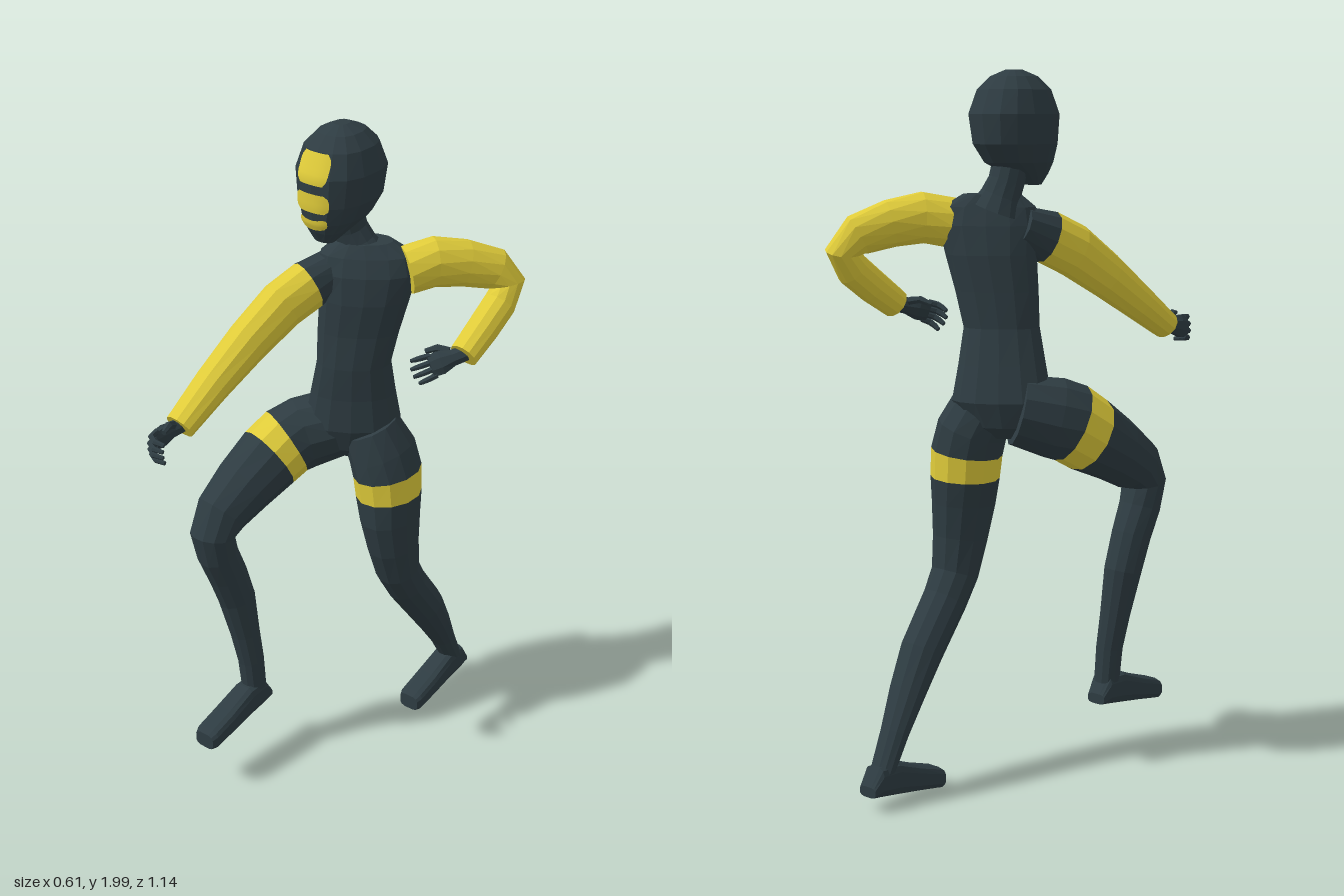
import * as THREE from 'three';

const V = (x, y, z) => new THREE.Vector3(x, y, z);
const X = V(1, 0, 0), Y = V(0, 1, 0), Z = V(0, 0, 1);
const dark = new THREE.MeshStandardMaterial({ color: 0x2e3c42 });
dark.name = 'slate suit';
const yellow = new THREE.MeshStandardMaterial({ color: 0xe0cc3a });
yellow.name = 'yellow trim';

// Rings around a path of [x, y, z, halfWidth, halfDepth]; power above 2 squares the section.
function rings(path, { n = 12, side = X, axis = null, power = 2 } = {}) {
  const pts = path.map(p => V(p[0], p[1], p[2]));
  return pts.map((c, i) => {
    const t = axis || pts[Math.min(i + 1, pts.length - 1)].clone()
      .sub(pts[Math.max(i - 1, 0)]).normalize();
    const u = side.clone().addScaledVector(t, -side.dot(t)).normalize();
    const v = t.clone().cross(u);
    const bend = w => Math.sign(w) * Math.pow(Math.abs(w), 2 / power);
    const ring = [];
    for (let k = 0; k < n; k++) {
      const a = ((k + 0.5) / n) * Math.PI * 2;
      ring.push(c.clone().addScaledVector(u, bend(Math.cos(a)) * path[i][3])
        .addScaledVector(v, bend(Math.sin(a)) * path[i][4]));
    }
    return { c, ring };
  });
}

// Faceted skin over rings, closed at both ends.
function skin(name, sections, material) {
  const out = [];
  const tri = (...ps) => ps.forEach(p => out.push(p.x, p.y, p.z));
  const n = sections[0].ring.length, end = sections[sections.length - 1];
  for (let k = 0; k < n; k++) {
    const m = (k + 1) % n;
    for (let i = 0; i + 1 < sections.length; i++) {
      const a = sections[i].ring, b = sections[i + 1].ring;
      tri(a[k], a[m], b[m]);
      tri(a[k], b[m], b[k]);
    }
    tri(sections[0].c, sections[0].ring[m], sections[0].ring[k]);
    tri(end.c, end.ring[k], end.ring[m]);
  }
  const geo = new THREE.BufferGeometry();
  geo.setAttribute('position', new THREE.Float32BufferAttribute(out, 3));
  geo.computeVertexNormals();
  const mesh = new THREE.Mesh(geo, material);
  mesh.name = name;
  return mesh;
}

const loft = (name, path, material, options) => skin(name, rings(path, options), material);

// A limb cut into coloured lengths: [name, first ring, last ring, material].
function limb(name, path, cuts) {
  const group = new THREE.Group();
  group.name = name;
  const all = rings(path);
  for (const [part, from, to, mat] of cuts) group.add(skin(part, all.slice(from, to + 1), mat));
  return group;
}

// Wedge shoe; x is its centre, dy and dz move it to the ankle.
function foot(name, x, dy, dz) {
  const path = [[-0.56, 0.045, 0.075, 0.03], [-0.53, 0.04, 0.125, 0.037], [-0.465, 0.03, 0.125, 0.038],
    [-0.38, 0.017, 0.092, 0.041], [-0.3, 0.003, 0.066, 0.041], [-0.283, 0.005, 0.055, 0.034]]
    .map(([z, lo, hi, w]) => [x, (lo + hi) / 2 + dy, z + dz, w, (hi - lo) / 2]);
  return loft(name, path, dark, { axis: Z, power: 3.5 });
}

// Hand pointing along its own +z with the palm facing -y; s puts the thumb on +x or -x.
function hand(name, wrist, toward, roll, s, curl) {
  const group = new THREE.Group();
  group.name = name;
  group.add(loft('palm', [[0, 0, -0.025, 0.024, 0.024], [0, 0, 0.015, 0.025, 0.019],
    [0, -0.003, 0.05, 0.036, 0.019], [0, -0.006, 0.08, 0.033, 0.014]], dark, { n: 8 }));
  for (let i = 0; i < 4; i++) {
    const x = (i - 1.5) * 0.019, fan = x * 0.25, len = i === 0 || i === 3 ? 0.85 : 1;
    const p = (y, z, r) => [x + fan * z * 12, y, 0.07 + z * len, r, r];
    group.add(loft('finger', [p(-0.005, 0, 0.0095), p(-0.008 - curl * 0.006, 0.03, 0.009),
      p(-0.014 - curl * 0.024, 0.05 - curl * 0.012, 0.008),
      p(-0.02 - curl * 0.045, 0.072 - curl * 0.045, 0.006)], dark, { n: 6 }));
  }
  group.add(loft('thumb', [[s * 0.02, -0.005, 0.015, 0.012, 0.012], [s * 0.04, -0.018, 0.04, 0.011, 0.011],
    [s * 0.044, -0.036, 0.07, 0.007, 0.007]], dark, { n: 6, side: Y }));
  group.position.copy(wrist);
  group.lookAt(toward);
  group.rotateZ(roll);
  return group;
}

// Head sections: height, centre z, half width, half depth.
const HEAD_X = -0.063, HEAD_POWER = 2.4;
const HEAD = [[1.688, -0.008, 0.03, 0.022], [1.72, -0.03, 0.056, 0.062], [1.75, -0.06, 0.078, 0.105],
  [1.8, -0.075, 0.098, 0.125], [1.88, -0.08, 0.108, 0.13], [1.945, -0.08, 0.09, 0.103],
  [1.98, -0.08, 0.058, 0.068], [1.998, -0.08, 0.02, 0.025]];

function faceZ(x, y) {
  let i = 0;
  while (i < HEAD.length - 2 && y > HEAD[i + 1][0]) i++;
  const f = (y - HEAD[i][0]) / (HEAD[i + 1][0] - HEAD[i][0]);
  const [, cz, a, b] = HEAD[i].map((h, k) => THREE.MathUtils.lerp(h, HEAD[i + 1][k], f));
  return cz + b * Math.pow(1 - Math.min(1, Math.abs(x / a)) ** HEAD_POWER, 1 / HEAD_POWER);
}

// Thin rounded patch wrapped on the front of the mask; sag curves it downward in the middle.
function facePatch(y0, y1, half, sag) {
  const geo = new THREE.PlaneGeometry(2, 2, 10, 6);
  const p = geo.attributes.position;
  for (let i = 0; i < p.count; i++) {
    const v = p.getY(i), x = p.getX(i) * half * (1 - 0.25 * v ** 4);
    const y = (y0 + y1) / 2 + v * (y1 - y0) / 2 - sag * (1 - (x / half) ** 2);
    p.setXYZ(i, HEAD_X + x, y, faceZ(x, y) + 0.004);
  }
  geo.computeVertexNormals();
  const mesh = new THREE.Mesh(geo, yellow);
  mesh.name = 'facePatch';
  return mesh;
}

export function createModel() {
  const model = new THREE.Group();
  model.name = 'lungingFigure';

  // Head, mask patches and neck
  model.add(loft('head', HEAD.map(([y, z, a, b]) => [HEAD_X, y, z, a, b]), dark,
    { n: 14, axis: Y, power: HEAD_POWER }));
  model.add(facePatch(1.863, 1.945, 0.05, 0), facePatch(1.785, 1.838, 0.054, 0),
    facePatch(1.742, 1.772, 0.045, 0.01));
  model.add(loft('neck', [[-0.03, 1.62, -0.12, 0.075, 0.065], [-0.042, 1.66, -0.112, 0.058, 0.052],
    [-0.053, 1.7, -0.1, 0.05, 0.05], [-0.058, 1.76, -0.085, 0.05, 0.05]], dark));

  // Torso, turned toward the figure's left
  const turn = 0.61;
  model.add(loft('torso', [[-0.062, 0.995, -0.11, 0.045, 0.04], [-0.06, 1.03, -0.115, 0.1, 0.075],
    [-0.052, 1.1, -0.118, 0.14, 0.095], [-0.045, 1.2, -0.11, 0.122, 0.083],
    [-0.035, 1.3, -0.1, 0.106, 0.076], [-0.025, 1.4, -0.108, 0.116, 0.075],
    [-0.01, 1.5, -0.115, 0.127, 0.08], [-0.003, 1.58, -0.117, 0.14, 0.073],
    [-0.005, 1.63, -0.118, 0.13, 0.058], [-0.015, 1.665, -0.118, 0.08, 0.045]], dark,
  { n: 14, axis: Y, side: V(Math.cos(turn), 0, -Math.sin(turn)), power: 2.2 }));

  // Bent arm drawn back
  model.add(limb('leftArm', [[0.09, 1.585, -0.17, 0.066, 0.07], [0.135, 1.6, -0.235, 0.06, 0.072],
    [0.185, 1.585, -0.31, 0.055, 0.066], [0.235, 1.555, -0.385, 0.05, 0.06],
    [0.262, 1.51, -0.415, 0.046, 0.055], [0.262, 1.46, -0.38, 0.046, 0.05],
    [0.258, 1.41, -0.31, 0.045, 0.048], [0.253, 1.355, -0.225, 0.042, 0.042]],
  [['leftSleeve', 0, 7, yellow]]));
  model.add(hand('leftHand', V(0.238, 1.352, -0.215), V(0.16, 1.315, -0.085), -1.05, -1, 0.35));

  // Arm reaching forward
  model.add(limb('rightArm', [[-0.085, 1.58, -0.08, 0.055, 0.055], [-0.112, 1.545, 0.005, 0.062, 0.075],
    [-0.14, 1.505, 0.085, 0.06, 0.076], [-0.165, 1.43, 0.2, 0.056, 0.066],
    [-0.182, 1.345, 0.33, 0.05, 0.053], [-0.188, 1.268, 0.455, 0.043, 0.041]],
  [['rightShoulder', 0, 1, dark], ['rightSleeve', 1, 5, yellow]]));
  model.add(hand('rightHand', V(-0.193, 1.268, 0.462), V(-0.208, 1.255, 0.56), 1.4, 1, 1));

  // Trailing leg
  model.add(limb('leftLeg', [[0, 1.09, -0.13, 0.09, 0.085], [0.033, 1.01, -0.148, 0.095, 0.105],
    [0.05, 0.947, -0.152, 0.096, 0.107], [0.055, 0.875, -0.154, 0.093, 0.103],
    [0.062, 0.8, -0.153, 0.083, 0.098], [0.067, 0.7, -0.163, 0.073, 0.083],
    [0.068, 0.6, -0.185, 0.066, 0.068], [0.07, 0.53, -0.225, 0.063, 0.064],
    [0.07, 0.4, -0.322, 0.06, 0.061], [0.063, 0.3, -0.387, 0.053, 0.049],
    [0.053, 0.2, -0.45, 0.042, 0.037], [0.05, 0.09, -0.508, 0.037, 0.029]],
  [['leftHip', 0, 2, dark], ['leftThighBand', 2, 3, yellow], ['leftLowerLeg', 3, 11, dark]]));
  model.add(foot('leftFoot', 0.05, 0, 0));

  // Leading leg
  model.add(limb('rightLeg', [[-0.1, 1.075, -0.11, 0.1, 0.1], [-0.165, 1.05, -0.03, 0.095, 0.115],
    [-0.19, 1.032, 0.015, 0.095, 0.114], [-0.21, 0.995, 0.07, 0.094, 0.11],
    [-0.225, 0.94, 0.17, 0.085, 0.095], [-0.235, 0.885, 0.255, 0.072, 0.083],
    [-0.238, 0.83, 0.292, 0.066, 0.063], [-0.235, 0.76, 0.277, 0.06, 0.061],
    [-0.23, 0.68, 0.245, 0.055, 0.061], [-0.225, 0.58, 0.213, 0.052, 0.058],
    [-0.212, 0.45, 0.195, 0.043, 0.045], [-0.2, 0.35, 0.185, 0.038, 0.04],
    [-0.195, 0.25, 0.18, 0.036, 0.038]],
  [['rightHip', 0, 2, dark], ['rightThighBand', 2, 3, yellow], ['rightLowerLeg', 3, 12, dark]]));
  model.add(foot('rightFoot', -0.195, 0.147, 0.69));

  return model;
}
